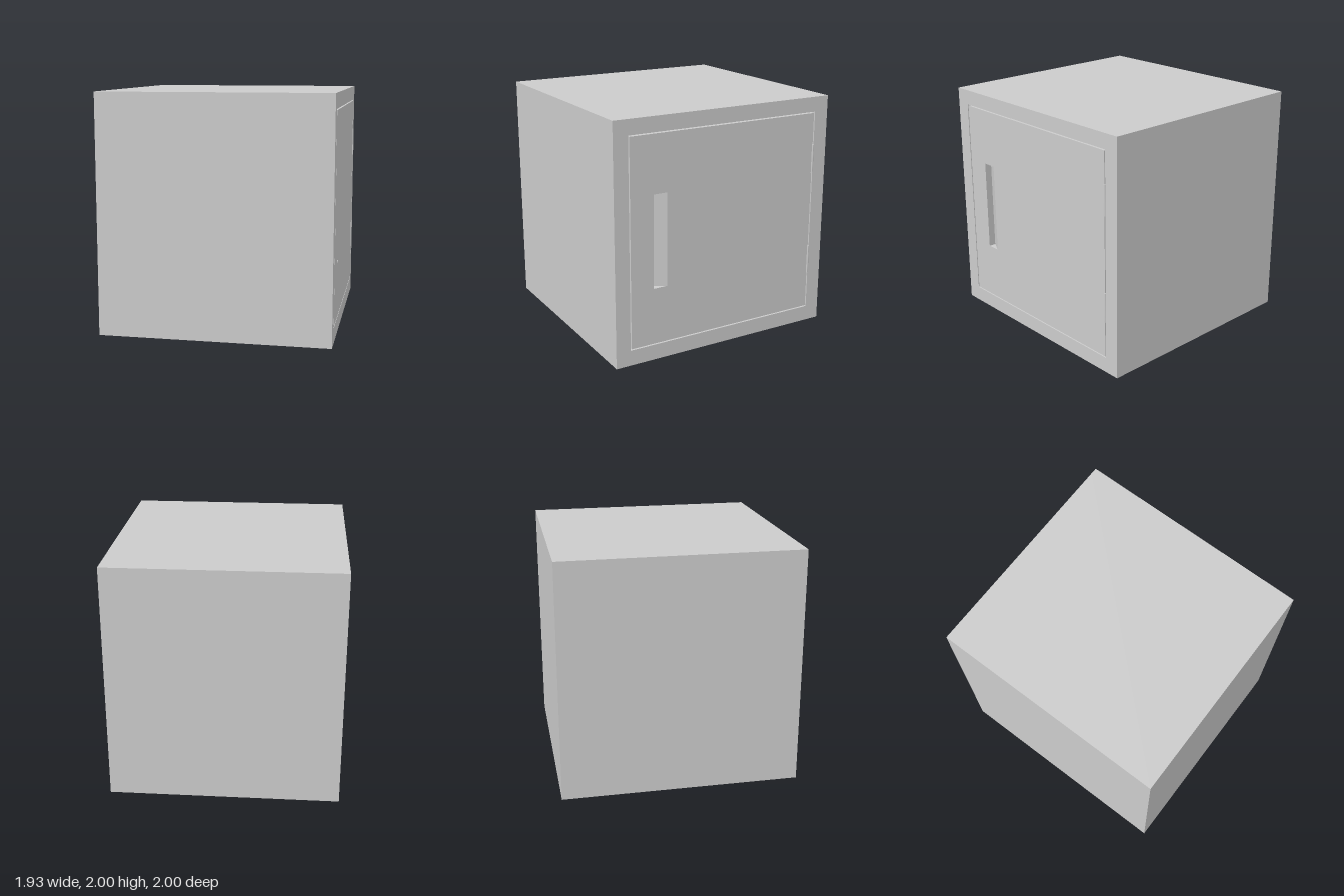
import * as THREE from 'three';

const MAT = new THREE.MeshStandardMaterial({ color: 0xcccccc });
const BACK = -0.965, FACE = 0.955, DEPTH = 0.06, INNER = FACE - DEPTH;

// Rectangle outline on the side plane; z is mirrored so it lands correctly after the turn to +x
function rect(Type, z0, z1, y0, y1) {
  const p = new Type();
  p.moveTo(-z1, y0);
  p.lineTo(-z0, y0);
  p.lineTo(-z0, y1);
  p.lineTo(-z1, y1);
  p.closePath();
  return p;
}

// Flat panel with a rectangular opening, its outside facing +x
function panel(outline, opening) {
  outline.holes.push(opening);
  const geo = new THREE.ExtrudeGeometry(outline, { depth: DEPTH, bevelEnabled: false });
  return geo.rotateY(Math.PI / 2).translate(INNER, 0, 0);
}

export function createModel() {
  const model = new THREE.Group();
  model.name = 'cabinet';
  const add = (name, geo, parent = model) => {
    const mesh = new THREE.Mesh(geo, MAT);
    mesh.name = name;
    parent.add(mesh);
    return mesh;
  };

  // Cabinet body and the frame around the door
  add('body', new THREE.BoxGeometry(INNER - BACK, 2, 2).translate((INNER + BACK) / 2, 1, 0));
  add('doorFrame', panel(
    rect(THREE.Shape, -1, 1, 0, 2),
    rect(THREE.Path, -0.873, 0.873, 0.13, 1.875)));

  // Door, separated from the frame by a narrow gap
  const door = new THREE.Group();
  door.name = 'door';
  model.add(door);
  add('doorPanel', panel(
    rect(THREE.Shape, -0.863, 0.863, 0.14, 1.865),
    rect(THREE.Path, 0.54, 0.66, 0.615, 1.39)), door);

  // Sloping floor of the finger pull, deepest at its front edge
  const wedge = new THREE.Shape([
    new THREE.Vector2(INNER, -0.66),
    new THREE.Vector2(FACE, -0.54),
    new THREE.Vector2(INNER, -0.54),
  ]);
  const slope = new THREE.ExtrudeGeometry(wedge, { depth: 0.775, bevelEnabled: false });
  add('handleRecess', slope.rotateX(-Math.PI / 2).translate(0, 0.615, 0), door);

  // Hinge barrels in the rear gap
  for (const [name, y] of [['lowerHinge', 0.575], ['upperHinge', 1.475]]) {
    add(name, new THREE.CylinderGeometry(0.009, 0.009, 0.25, 20)).position.set(0.956, y, -0.866);
  }

  return model;
}
